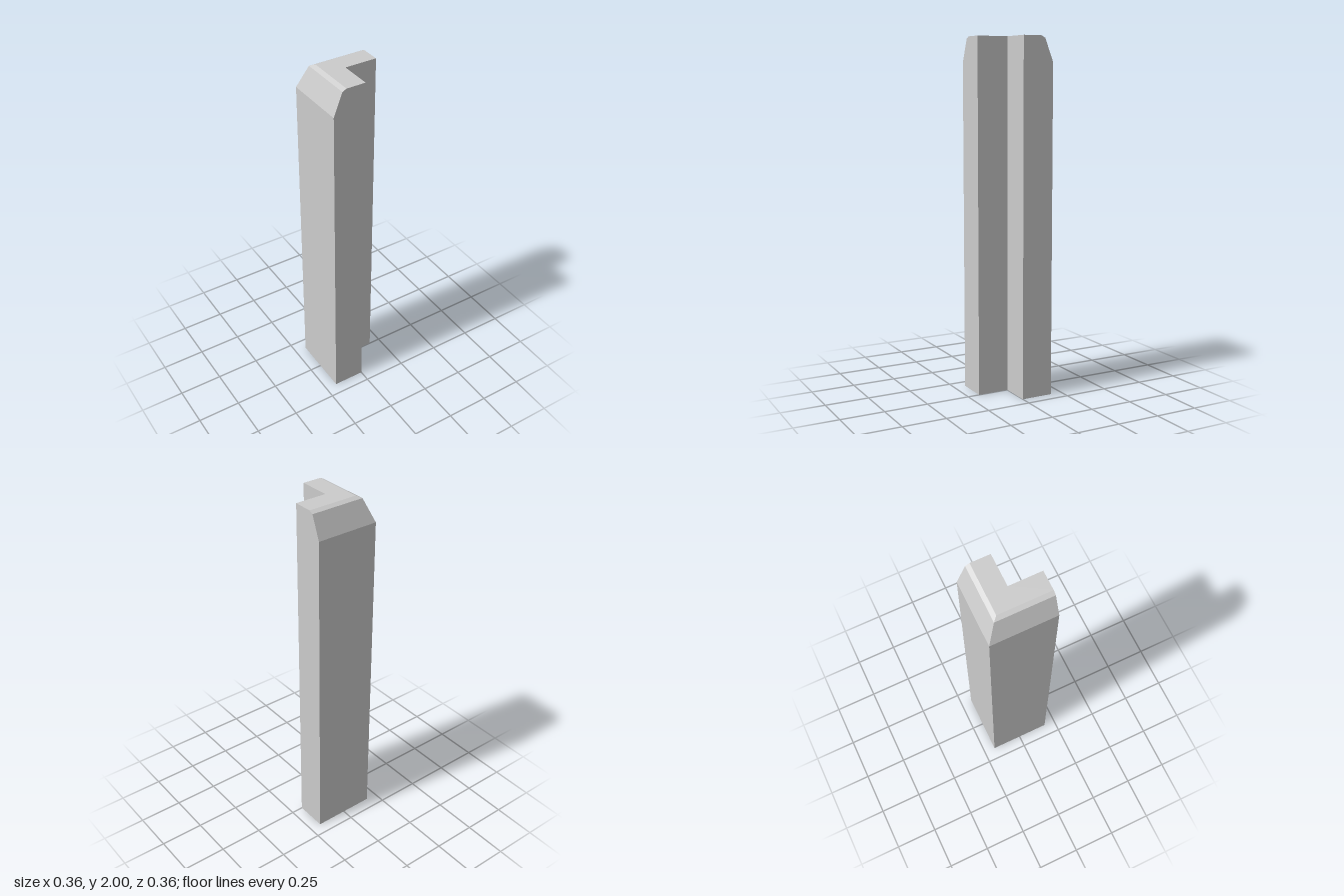
import * as THREE from 'three';

const H = 0.182; // half width of the L-shaped post

// L cross-section whose two outer faces are pulled in by d
const section = (y, d) => [
  [-H + d, -H + d], [H, -H + d], [H, 0], [0, 0], [0, H], [-H + d, H],
].map(([x, z]) => [x, y, z]);

export function createModel() {
  const group = new THREE.Group();
  group.name = 'cornerPost';

  // base, start of bevel, steep bevel, shallow bevel at the top
  const rings = [[0, 0], [1.86, 0], [1.988, 0.05], [2, 0.073]].map(([y, d]) => section(y, d));
  const n = rings[0].length;
  const positions = [];
  const tri = (...corners) => corners.forEach((p) => positions.push(...p));

  // side walls and bevels
  for (let r = 0; r < rings.length - 1; r++) {
    for (let i = 0; i < n; i++) {
      const j = (i + 1) % n;
      const a = rings[r][i], b = rings[r][j], c = rings[r + 1][j], d = rings[r + 1][i];
      tri(a, c, b);
      tri(a, d, c);
    }
  }

  // end caps, fanned from the inner corner of the L
  const inner = 3;
  const bottom = rings[0], top = rings[rings.length - 1];
  for (let k = 1; k < n - 1; k++) {
    const i = (inner + k) % n, j = (inner + k + 1) % n;
    tri(bottom[inner], bottom[i], bottom[j]);
    tri(top[inner], top[j], top[i]);
  }

  const geometry = new THREE.BufferGeometry();
  geometry.setAttribute('position', new THREE.Float32BufferAttribute(positions, 3));
  geometry.computeVertexNormals();

  const post = new THREE.Mesh(
    geometry,
    new THREE.MeshStandardMaterial({ color: 0xcccccc, flatShading: true }),
  );
  post.name = 'post';
  group.add(post);
  return group;
}
